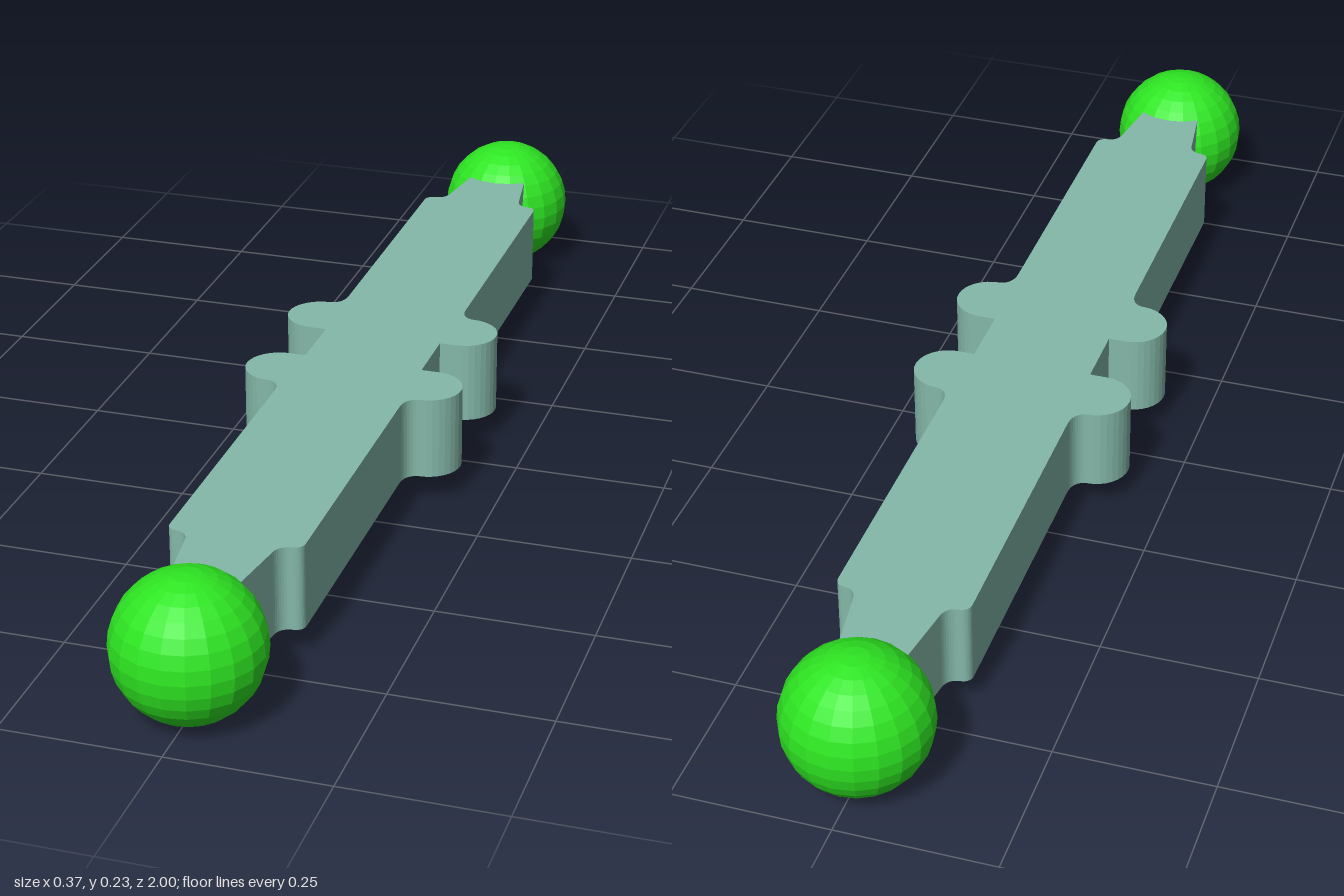
import * as THREE from 'three';

// Right-hand edge of the bar for one half, from the waist to the tip (x, distance along z)
function traceHalf(shape) {
  shape.lineTo(0.1, 0.055);
  shape.lineTo(0.128, 0.055);
  shape.absarc(0.128, 0.11, 0.055, -Math.PI / 2, Math.PI / 2, false);
  shape.quadraticCurveTo(0.105, 0.168, 0.105, 0.2);
  shape.lineTo(0.105, 0.675);
  shape.quadraticCurveTo(0.105, 0.69, 0.09, 0.692);
  shape.quadraticCurveTo(0.07, 0.693, 0.067, 0.715);
  shape.lineTo(0.05, 0.83);
}

export function createModel() {
  const model = new THREE.Group();

  const half = new THREE.Shape();
  half.moveTo(0.1, 0);
  traceHalf(half);
  const edge = half.getPoints(8);

  // Mirror the quarter outline across both axes
  const mirror = (sx, sz) => edge.map((p) => new THREE.Vector2(p.x * sx, p.y * sz));
  const outline = [
    ...mirror(1, 1),
    ...mirror(-1, 1).reverse(),
    ...mirror(-1, -1).slice(1),
    ...mirror(1, -1).reverse().slice(0, -1),
  ];

  // Flat bar with four rounded lobes and tapered ends
  const barGeometry = new THREE.ExtrudeGeometry(new THREE.Shape(outline), {
    depth: 0.137,
    bevelEnabled: false,
  });
  barGeometry.rotateX(-Math.PI / 2);
  const bar = new THREE.Mesh(barGeometry, new THREE.MeshStandardMaterial({ color: 0x84b8a8 }));
  bar.name = 'bar';
  bar.position.y = 0.048;
  model.add(bar);

  // Faceted ball on each end
  const ballMaterial = new THREE.MeshStandardMaterial({ color: 0x2ee622, flatShading: true });
  const ballGeometry = new THREE.SphereGeometry(0.115, 20, 16);
  for (const [name, side] of [['frontBall', 1], ['backBall', -1]]) {
    const ball = new THREE.Mesh(ballGeometry, ballMaterial);
    ball.name = name;
    ball.position.set(0, 0.116, side * 0.885);
    model.add(ball);
  }

  return model;
}
